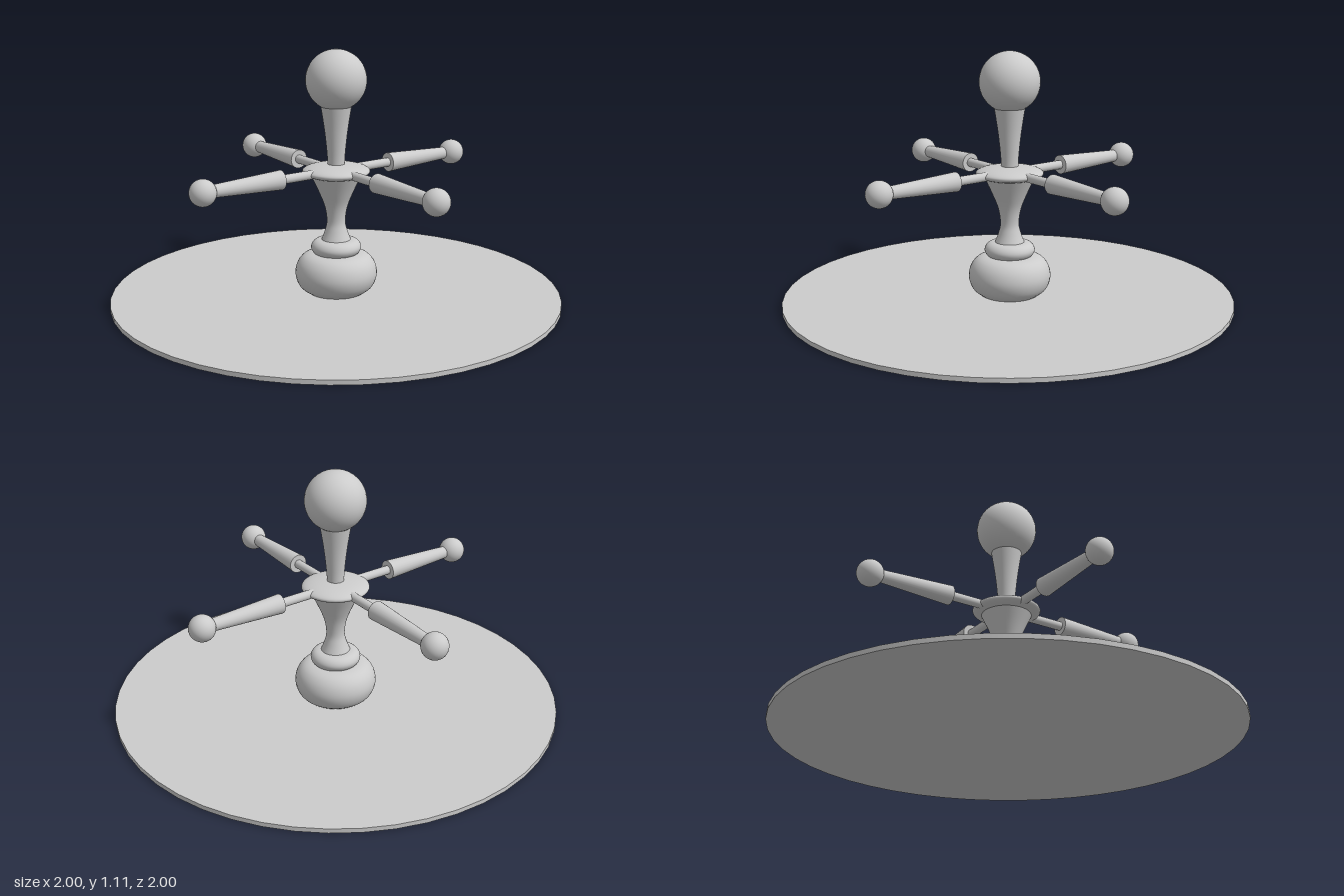
import * as THREE from 'three';

const material = new THREE.MeshStandardMaterial({ color: 0xcccccc });

function add(parent, name, geometry, x = 0, y = 0, z = 0) {
  const mesh = new THREE.Mesh(geometry, material);
  mesh.name = name;
  mesh.position.set(x, y, z);
  parent.add(mesh);
  return mesh;
}

// Smooth turned piece from [radius, height] points, bottom to top
function turned(points) {
  const curve = new THREE.SplineCurve(points.map(([r, y]) => new THREE.Vector2(r, y)));
  return new THREE.LatheGeometry(curve.getPoints(24), 40);
}

export function createModel() {
  const model = new THREE.Group();
  model.name = 'spokedPost';

  // Ground disc
  add(model, 'groundDisc', new THREE.CylinderGeometry(1, 1, 0.02, 48), 0, 0.01, 0);

  const post = new THREE.Group();
  post.name = 'post';
  post.position.set(-0.005, 0, -0.005);
  model.add(post);

  // Bulging foot, ring and stem
  add(post, 'foot', turned([[0.12, 0.015], [0.165, 0.05], [0.183, 0.107], [0.165, 0.165], [0.115, 0.197], [0.001, 0.2]]));
  add(post, 'footRing', turned([[0.001, 0.19], [0.085, 0.192], [0.112, 0.225], [0.085, 0.258], [0.001, 0.26]]));
  add(post, 'lowerStem', turned([[0.067, 0.255], [0.05, 0.3], [0.041, 0.345], [0.05, 0.41], [0.075, 0.475], [0.11, 0.55]]));

  // Flattened hub that carries the arms
  const hub = add(post, 'hub', new THREE.SphereGeometry(0.15, 40, 20), 0, 0.572, 0);
  hub.scale.y = 0.22;

  // Neck and head ball
  add(post, 'neck', turned([[0.037, 0.58], [0.04, 0.65], [0.052, 0.76], [0.071, 0.88]]));
  add(post, 'head', new THREE.SphereGeometry(0.134, 40, 24), 0, 0.975, 0);

  // Four arms: rod, tapered grip and end knob
  for (let i = 0; i < 4; i++) {
    const arm = new THREE.Group();
    arm.name = `arm${i + 1}`;
    arm.position.y = 0.572;
    arm.rotation.y = i * Math.PI / 2;
    post.add(arm);
    add(arm, 'rod', new THREE.CylinderGeometry(0.02, 0.02, 0.32, 20), 0.15, 0, 0).rotation.z = -Math.PI / 2;
    add(arm, 'grip', new THREE.CylinderGeometry(0.026, 0.043, 0.36, 24), 0.47, 0, 0).rotation.z = -Math.PI / 2;
    add(arm, 'knob', new THREE.SphereGeometry(0.058, 28, 18), 0.672, 0, 0);
  }
  return model;
}
